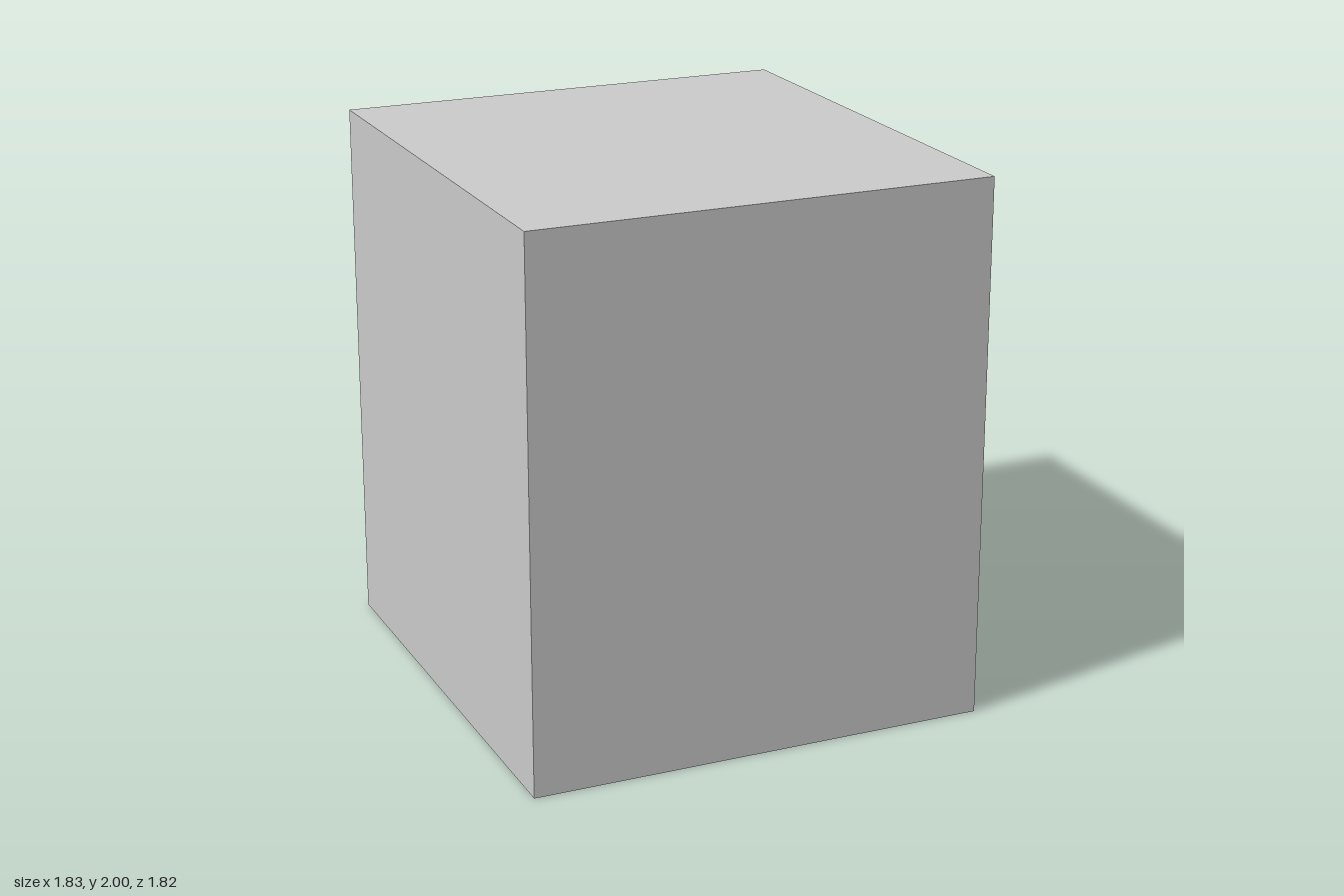
import * as THREE from 'three';

const FACE = 0.795; // x of the face carrying the slot and symbols
const FLOOR = 0.675; // x of the bottom of the slot

export function createModel() {
  const group = new THREE.Group();
  const material = new THREE.MeshStandardMaterial({ color: 0xcccccc, flatShading: true });

  const add = (name, geometry) => {
    const mesh = new THREE.Mesh(geometry, material);
    mesh.name = name;
    group.add(mesh);
  };

  // Rectangle outline, u running towards the back (-z), v up
  const rect = (u0, u1, v0, v1) =>
    [[u0, v0], [u1, v0], [u1, v1], [u0, v1]].map(([u, v]) => new THREE.Vector2(u, v));

  // Extrude an outline along +x from x0 to x1, optionally pierced by a hole
  const plate = (name, points, x0, x1, hole) => {
    const shape = new THREE.Shape(points);
    if (hole) shape.holes.push(new THREE.Path(hole));
    const geometry = new THREE.ExtrudeGeometry(shape, { depth: x1 - x0, bevelEnabled: false });
    geometry.rotateY(Math.PI / 2).translate(x0, 0, 0);
    add(name, geometry);
  };

  // Body: solid block plus a pierced layer that forms the slot
  const block = new THREE.BoxGeometry(FLOOR + 0.915, 2, 1.82);
  block.translate((FLOOR - 0.915) / 2, 1, 0);
  add('body', block);
  const slot = rect(-0.195, 0.195, 0.4, 1.605);
  plate('slottedSide', rect(-0.91, 0.91, 0, 2), FLOOR, FACE, slot);

  // Raised frame around the slot
  plate('slotFrame', rect(-0.3, 0.3, 0.28, 1.725), FACE, 0.915, slot);

  // Raised arrows, mirrored about mid height, with a bar between them
  const arrow = [[-0.07, 0.435], [0.07, 0.435], [0.07, 0.775], [0.107, 0.775],
    [0, 0.96], [-0.107, 0.775], [-0.07, 0.775]];
  for (const [name, s] of [['upArrow', 1], ['downArrow', -1]]) {
    plate(name, arrow.map(([u, v]) => new THREE.Vector2(0.604 + u, 1 + s * v)), FACE, 0.835);
  }
  plate('middleBar', rect(0.435, 0.775, 0.93, 1.07), FACE, 0.835);

  return group;
}
